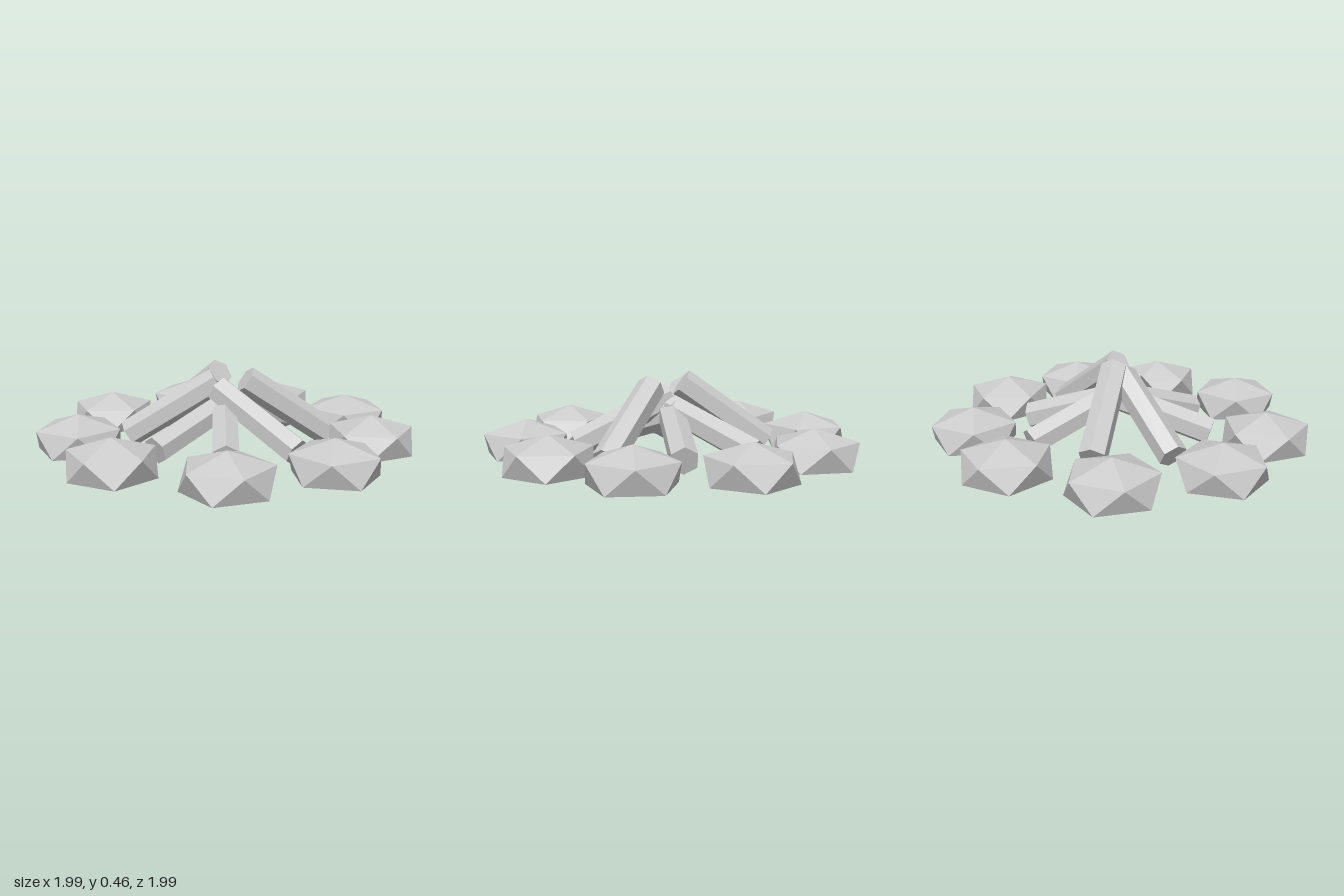
import * as THREE from 'three';
import { ConvexGeometry } from 'three/addons/geometries/ConvexGeometry.js';

const RAD = Math.PI / 180;

// Faceted stone: apex, upper pentagon, and a flat base pentagon turned half a step
function stoneGeometry() {
  const radius = 0.228;
  const points = [new THREE.Vector3(0, 0.205, 0)];
  for (let i = 0; i < 5; i++) {
    const a = i * 72 * RAD;
    const b = a + 36 * RAD;
    points.push(new THREE.Vector3(radius * Math.cos(a), 0.135, radius * Math.sin(a)));
    points.push(new THREE.Vector3(radius * Math.cos(b), 0.01, radius * Math.sin(b)));
  }
  return new ConvexGeometry(points);
}

// Six-sided log from its raised inner end to its outer end, one edge on top
function makeLog(name, top, foot, material) {
  const a = new THREE.Vector3(...top);
  const b = new THREE.Vector3(...foot);
  const axis = a.clone().sub(b);
  const length = axis.length();
  axis.normalize();
  const side = new THREE.Vector3(0, 1, 0).cross(axis).normalize();
  const under = side.clone().cross(axis);
  const log = new THREE.Mesh(new THREE.CylinderGeometry(0.076, 0.076, length, 6), material);
  log.quaternion.setFromRotationMatrix(new THREE.Matrix4().makeBasis(side, axis, under));
  log.position.copy(a).add(b).multiplyScalar(0.5);
  log.name = name;
  return log;
}

export function createModel() {
  const model = new THREE.Group();
  model.name = 'campfire';
  const material = new THREE.MeshStandardMaterial({ color: 0xcccccc, flatShading: true });

  // Ring of stones: angle around the fire (from +x towards +z) and distance
  const ring = new THREE.Group();
  ring.name = 'stoneRing';
  const stone = stoneGeometry();
  const places = [
    [90, 0.775], [48, 0.777], [10.3, 0.783], [-26.4, 0.79], [-67.2, 0.793],
    [-104.3, 0.793], [-145.7, 0.789], [173, 0.78], [135.3, 0.775],
  ];
  places.forEach(([angle, distance], i) => {
    const mesh = new THREE.Mesh(stone, material);
    mesh.name = `stone${i + 1}`;
    mesh.position.set(distance * Math.cos(angle * RAD), 0, distance * Math.sin(angle * RAD));
    mesh.rotation.y = (90 - angle) * RAD;
    ring.add(mesh);
  });
  model.add(ring);

  // Logs leaning together: inner end, outer end
  const logs = new THREE.Group();
  logs.name = 'logPile';
  const leaning = {
    backLog: [[0, 0.26, 0], [0, 0.074, -0.545]],
    backLeftLog: [[-0.02, 0.24, 0.02], [0.36, 0.074, -0.375]],
    leftLog: [[0.11, 0.38, 0.045], [0.565, 0.065, -0.05]],
    frontLeftLog: [[-0.03, 0.32, 0.02], [0.36, 0.069, 0.36]],
    frontLog: [[0, 0.25, -0.07], [0, 0.074, 0.47]],
    frontRightLog: [[0.03, 0.24, -0.05], [-0.355, 0.074, 0.335]],
    rightLog: [[-0.04, 0.36, -0.02], [-0.52, 0.068, -0.015]],
    backRightLog: [[-0.02, 0.4, -0.055], [-0.345, 0.075, -0.375]],
  };
  for (const [name, [top, foot]] of Object.entries(leaning)) {
    logs.add(makeLog(name, top, foot, material));
  }
  model.add(logs);

  return model;
}
